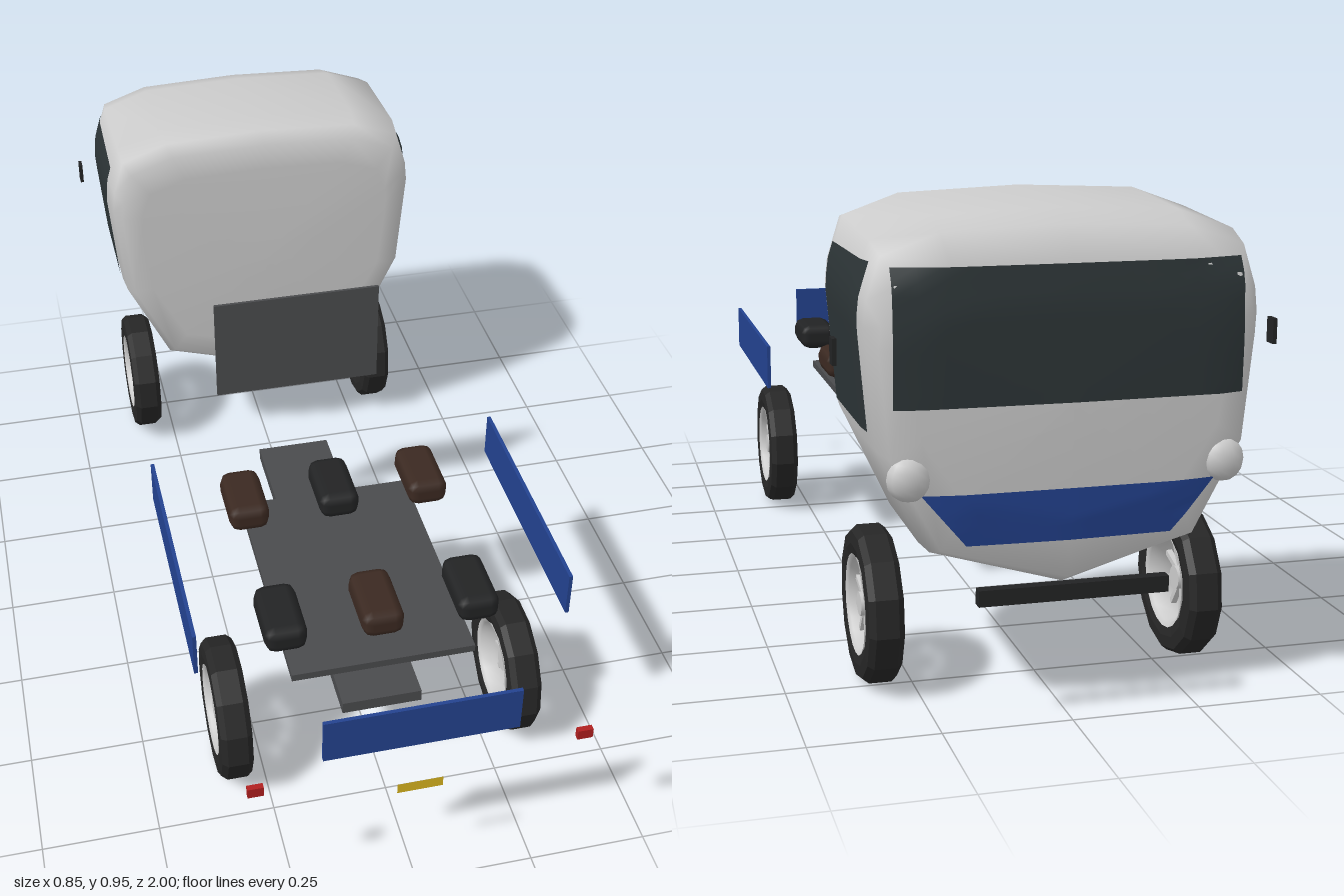
import * as THREE from 'three';
import { RoundedBoxGeometry } from 'three/addons/geometries/RoundedBoxGeometry.js';

const mat = (color, extra = {}) => {
  const m = new THREE.MeshStandardMaterial({ color });
  return Object.assign(m, extra);
};

export function createModel() {
  const root = new THREE.Group();
  const grey = mat(0xcccccc, { side: THREE.DoubleSide });
  const chassis = mat(0x4a4b4d), dark = mat(0x222324), tyreMat = mat(0x262626);
  const glass = mat(0x2c3436, { side: THREE.DoubleSide });
  const blue = mat(0x23428f, { side: THREE.DoubleSide });
  const red = mat(0xb02020), yellow = mat(0xd8b420, { side: THREE.DoubleSide });
  const brown = mat(0x3b2921);

  const add = (name, geo, material, x = 0, y = 0, z = 0, parent = root) => {
    const m = new THREE.Mesh(geo, material);
    m.name = name;
    m.position.set(x, y, z);
    parent.add(m);
    return m;
  };
  // Box given by its limits
  const box = (name, material, x0, x1, y0, y1, z0, z1) =>
    add(name, new THREE.BoxGeometry(x1 - x0, y1 - y0, z1 - z0), material,
      (x0 + x1) / 2, (y0 + y1) / 2, (z0 + z1) / 2);

  // Cab: one outline lofted through sections [z, width scale, top, bottom]
  const half = [[0, .955], [.24, .945], [.35, .905], [.376, .82], [.381, .77], [.36, .53], [.26, .32], [0, .24]];
  const outline = [...half, ...half.slice(1, -1).reverse().map(([x, y]) => [-x, y])];
  const sections = [
    [-.5, 0, .6, .6], [-.502, .82, .86, .34], [-.512, .94, .92, .275], [-.54, .985, .945, .25],
    [-.6, 1, .955, .24], [-.85, 1, .938, .24], [-.92, .98, .915, .245],
    [-.957, .93, .86, .265], [-.972, .78, .78, .38], [-.977, 0, .6, .6],
  ];
  const pos = [], idx = [], n = outline.length;
  sections.forEach(([z, s, top, bottom], i) => {
    outline.forEach(([x, y], j) => {
      pos.push(x * s, bottom + (y - .24) / .715 * (top - bottom), z);
      if (i === sections.length - 1) return;
      const a = i * n + j, b = i * n + (j + 1) % n;
      if (i > 0) idx.push(a, b, a + n);
      if (i < sections.length - 2) idx.push(b, b + n, a + n);
      else idx.push(b, b + n, a + n);
    });
  });
  const cabGeo = new THREE.BufferGeometry();
  cabGeo.setAttribute('position', new THREE.Float32BufferAttribute(pos, 3));
  cabGeo.setIndex(idx);
  cabGeo.computeVertexNormals();
  const cab = add('cab', cabGeo, grey);
  cab.updateMatrixWorld();

  // Panel laid onto the cab surface by casting each grid point inwards
  const ray = new THREE.Raycaster();
  const panel = (name, material, w, h, angle, x, y, z, taper = 1) => {
    const g = new THREE.PlaneGeometry(w, h, 14, 10);
    const p = g.attributes.position;
    for (let i = 0; i < p.count; i++) {
      p.setX(i, p.getX(i) * THREE.MathUtils.lerp(taper, 1, p.getY(i) / h + .5));
    }
    g.rotateY(angle).translate(x, y, z);
    const out = new THREE.Vector3(0, 0, 1).applyAxisAngle(new THREE.Vector3(0, 1, 0), angle);
    const v = new THREE.Vector3();
    for (let i = 0; i < p.count; i++) {
      v.fromBufferAttribute(p, i);
      ray.set(v, out.clone().negate());
      const hit = ray.intersectObject(cab)[0];
      if (hit) v.copy(hit.point).addScaledVector(out, .004);
      p.setXYZ(i, v.x, v.y, v.z);
    }
    g.computeVertexNormals();
    add(name, g, material);
  };
  panel('windscreen', glass, .66, .25, Math.PI, 0, .725, -1.2);
  panel('frontStripe', blue, .56, .1, Math.PI, 0, .39, -1.2, .7);
  for (const s of [-1, 1]) {
    panel('sideWindow', glass, .29, .31, s * Math.PI / 2, s * .7, .7, -.745);
    const lamp = add('headlight', new THREE.SphereGeometry(.042, 10, 8), grey, s * .3, .47, -.955);
    lamp.scale.z = .65;
    box('mirror', dark, s * .422 - .004, s * .422 + .004, .672, .721, -.9, -.872);
  }
  box('bumper', dark, -.182, .182, .235, .266, -1, -.978);

  // Chassis and load bed
  box('chassisBeam', chassis, -.087, .087, .206, .234, -.19, .7);
  box('deck', chassis, -.198, .198, .334, .351, .145, .705);
  box('headboard', chassis, -.198, .198, .465, .721, -.139, -.132);
  box('tailboard', blue, -.198, .198, .404, .506, .979, .987);
  for (const s of [-1, 1]) {
    box('sideboard', blue, s * .396 - .004, s * .396 + .004, .404, .506, .145, .705);
    box('tailLight', red, s * .333 - .016, s * .333 + .016, .351, .374, .988, 1);
  }
  add('plate', new THREE.PlaneGeometry(.094, .025), yellow, 0, .285, .988);

  // Cargo bundles in alternating colours
  [.24, .625].forEach((z, row) => [-.205, 0, .205].forEach((x, col) => {
    add('cargoBundle', new RoundedBoxGeometry(.09, .062, .156, 1, .022),
      (row + col) % 2 ? dark : brown, x, .444, z);
  }));

  // Wheels: faceted tyre, open rim, spokes and hub
  const tyreProfile = [[.098, -.03], [.12, -.036], [.145, -.034], [.155, -.022], [.155, .022],
    [.145, .034], [.12, .036], [.098, .03], [.098, -.03]].map(([r, y]) => new THREE.Vector2(r, y));
  const tyreGeo = new THREE.LatheGeometry(tyreProfile, 13).rotateZ(Math.PI / 2);
  const rimGeo = new THREE.LatheGeometry([[.1, -.034], [.09, -.028], [.086, 0], [.09, .028], [.1, .034]]
    .map(([r, y]) => new THREE.Vector2(r, y)), 20).rotateZ(Math.PI / 2);
  const hubGeo = new THREE.CylinderGeometry(.024, .024, .036, 12).rotateZ(Math.PI / 2);
  const spokeGeo = new THREE.BoxGeometry(.012, .075, .011).translate(0, .053, 0);
  for (const s of [-1, 1]) for (const z of [-.71, .58]) {
    const wheel = new THREE.Group();
    wheel.name = 'wheel';
    wheel.position.set(s * .32, .155, z);
    root.add(wheel);
    const tyre = add('tyre', tyreGeo, mat(0x262626, { flatShading: true, side: THREE.DoubleSide }), 0, 0, 0, wheel);
    tyre.rotation.x = .12;
    add('rim', rimGeo, grey, 0, 0, 0, wheel);
    add('hub', hubGeo, grey, s * .008, 0, 0, wheel);
    for (let i = 0; i < 10; i++) {
      add('spoke', spokeGeo, grey, s * .01, 0, 0, wheel).rotation.x = i * Math.PI / 5;
    }
  }
  return root;
}
